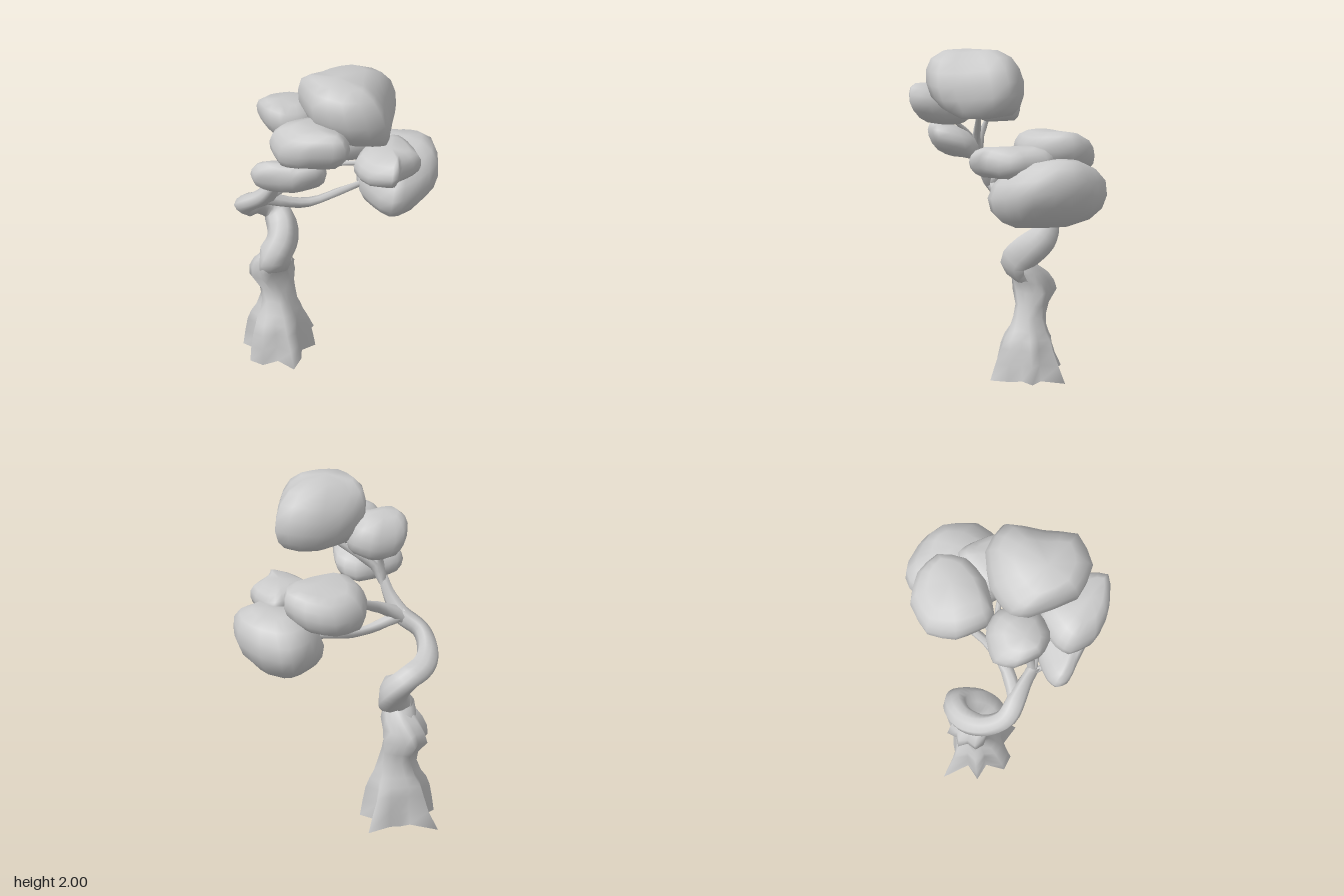
import * as THREE from 'three';
import { mergeVertices } from 'three/addons/utils/BufferGeometryUtils.js';

const V = (x, y, z) => new THREE.Vector3(x, y, z);
const bark = new THREE.MeshStandardMaterial({ color: 0xcccccc, side: THREE.DoubleSide });
const leaves = new THREE.MeshStandardMaterial({ color: 0xcccccc });

// Skins a stack of closed rings (rings rise, points run from +x towards +z)
function loft(rings) {
  const n = rings[0].length, index = [];
  for (let i = 0; i < rings.length - 1; i++) {
    for (let j = 0; j < n; j++) {
      const k = (j + 1) % n, a = i * n + j, b = i * n + k, c = a + n, d = b + n;
      index.push(a, c, b, b, c, d);
    }
  }
  let geo = new THREE.BufferGeometry().setFromPoints(rings.flat());
  geo.setIndex(index);
  geo = mergeVertices(geo, 1e-4);
  geo.computeVertexNormals();
  return geo;
}

// Tapering limb through points [x, y, z, radius], with twisting ridges
function limb(points, steps, sides, ridge) {
  const curve = new THREE.CatmullRomCurve3(points.map(p => V(p[0], p[1], p[2])));
  const { normals, binormals } = curve.computeFrenetFrames(steps, false);
  const rings = [];
  for (let i = 0; i <= steps; i++) {
    const t = i / steps, f = curve.getUtoTmapping(t) * (points.length - 1);
    const k = Math.min(Math.floor(f), points.length - 2);
    const r = THREE.MathUtils.lerp(points[k][3], points[k + 1][3], f - k);
    const centre = curve.getPointAt(t);
    rings.push(Array.from({ length: sides }, (_, j) => {
      const a = j / sides * Math.PI * 2;
      const rr = r * (1 + ridge * Math.sin(3 * a + t * 9) + ridge * 0.6 * Math.sin(2 * a - t * 23));
      return centre.clone().addScaledVector(normals[i], rr * Math.cos(a))
        .addScaledVector(binormals[i], -rr * Math.sin(a));
    }));
  }
  return loft(rings);
}

// Leaf pad: plan outline swelled between two heights; a low power gives steep sides,
// and the crown and underside can shift sideways
function pad({ plan, low, high, power = 0.62, tilt = [0, 0], top = [0, 0], seed }) {
  const xs = plan.map(p => p[0]), zs = plan.map(p => p[1]);
  const cx = (Math.min(...xs) + Math.max(...xs)) / 2, cz = (Math.min(...zs) + Math.max(...zs)) / 2;
  const sorted = plan.map(([x, z]) => V(x - cx, 0, z - cz))
    .sort((p, q) => Math.atan2(p.z, p.x) - Math.atan2(q.z, q.x));
  const outline = new THREE.CatmullRomCurve3(sorted, true, 'catmullrom', 0.25).getPoints(18).slice(0, 18);
  const rings = [], levels = 8;
  for (let i = 0; i <= levels; i++) {
    const phi = (i / levels - 0.5) * Math.PI, h = Math.sin(phi);
    const s = i % levels ? Math.pow(Math.cos(phi), power) : 0;
    rings.push(outline.map((p, j) => {
      const a = j / 18 * Math.PI * 2;
      const lump = 1 + 0.1 * (1 - s * s) * Math.sin(3 * a + seed + i);
      const x = p.x * s * lump, z = p.z * s * lump;
      const y = (low + high) / 2 + h * (high - low) / 2 + tilt[0] * x + tilt[1] * z
        + 0.015 * s * Math.sin(2 * a + seed * 3);
      return V(cx + x + top[0] * h * (1 - s * 0.5), y, cz + z + top[1] * h * (1 - s * 0.5));
    }));
  }
  return loft(rings);
}

export function createModel() {
  const group = new THREE.Group();
  const add = (name, geo, mat) => {
    const mesh = new THREE.Mesh(geo, mat);
    mesh.name = name;
    group.add(mesh);
  };

  // Flared roots: a star at the ground that gathers into the trunk
  const star = [.15, .22, .15, .2, .27, .17, .23, .24, .15, .23, .15, .3, .15, .15, .16, .28];
  // [y, centre x, centre z, scale, longest root, star strength, twist]
  const rootRings = [
    [0, -.33, -.27, 1, .3, 1, 0], [.1, -.33, -.27, .93, .25, 1, .02], [.19, -.335, -.27, .88, .22, .9, .04],
    [.25, -.335, -.27, .84, .2, .9, .06], [.3, -.33, -.27, .66, .21, .9, .1], [.38, -.325, -.275, .52, .22, .8, .25],
    [.45, -.33, -.29, .5, .22, .8, .4], [.53, -.35, -.315, .61, .24, .7, .55], [.59, -.355, -.3, .59, .24, .6, .7],
    [.65, -.35, -.265, .55, .24, .5, .85], [.7, -.35, -.23, .42, .24, .3, 1], [.75, -.33, -.22, .2, .24, 0, 1.1],
  ];
  add('roots', loft(rootRings.map(([y, cx, cz, s, cap, k, twist]) =>
    star.map((r, j) => {
      const a = j * Math.PI / 8 + twist, rr = s * THREE.MathUtils.lerp(0.2, Math.min(r, cap), k);
      return V(cx + rr * Math.cos(a), y, cz + rr * Math.sin(a));
    }))), bark);

  // Spiralling trunk
  add('trunk', limb([
    [-.335, .45, -.29, .03], [-.36, .61, -.27, .085], [-.36, .71, -.205, .1], [-.3, .79, -.24, .095],
    [-.275, .87, -.32, .085], [-.31, .94, -.375, .068], [-.41, .99, -.365, .062], [-.505, 1.05, -.27, .06],
    [-.53, 1.12, -.17, .052], [-.46, 1.2, -.07, .05], [-.42, 1.3, 0, .036], [-.4, 1.4, .05, .03],
  ], 44, 10, 0.14), bark);

  // Branches, each ending inside its leaf pad
  const branches = {
    lowBranch: [[-.47, 1.21, -.08, .045], [-.36, 1.165, -.06, .034], [-.2, 1.13, -.04, .026], [0, 1.16, -.05, .022], [.2, 1.2, -.06, .015]],
    middleBranch: [[-.46, 1.19, -.08, .045], [-.33, 1.26, -.07, .034], [-.18, 1.33, -.11, .028], [-.05, 1.39, -.18, .022], [.08, 1.43, -.21, .012]],
    middleTwig: [[-.2, 1.32, -.1, .02], [-.08, 1.36, -.03, .018], [.12, 1.39, .1, .012]],
    crownBranch: [[-.4, 1.37, .04, .03], [-.36, 1.46, .07, .025], [-.25, 1.55, .11, .02], [-.08, 1.68, .18, .014]],
    backTwig: [[-.4, 1.38, .04, .026], [-.37, 1.5, .03, .018], [-.32, 1.66, -.01, .012]],
    frontTwig: [[-.37, 1.45, .07, .022], [-.33, 1.54, .17, .016], [-.31, 1.66, .3, .012]],
    sideTwig: [[-.41, 1.36, .03, .02], [-.42, 1.39, .1, .014], [-.38, 1.45, .2, .01]],
  };
  for (const [name, pts] of Object.entries(branches)) add(name, limb(pts, 12, 7, 0.1), bark);

  // Leaf pads: plan points are [x, z]
  const pads = {
    crownPad: { low: 1.62, high: 2, power: .6, top: [-.1, .02], seed: 1, plan: [[.23, .14], [.13, .31], [.04, .47], [-.16, .46], [-.29, .32], [-.28, .06], [-.22, -.02], [-.06, -.05], [.13, 0]] },
    upperFrontPad: { low: 1.57, high: 1.81, top: [.02, .06], seed: 2, plan: [[-.49, .2], [-.48, .34], [-.39, .45], [-.21, .54], [-.14, .44], [-.14, .25], [-.25, .13], [-.42, .15]] },
    upperBackPad: { low: 1.58, high: 1.82, top: [-.06, .02], seed: 3, plan: [[-.46, -.1], [-.46, .05], [-.38, .14], [-.24, .14], [-.16, .05], [-.15, -.06], [-.22, -.15], [-.38, -.18]] },
    sidePad: { low: 1.37, high: 1.57, tilt: [.03, .14], top: [-.03, .05], seed: 4, plan: [[-.57, .16], [-.5, .24], [-.4, .36], [-.25, .36], [-.19, .22], [-.26, .1], [-.5, .075], [-.57, .1]] },
    middleBackPad: { low: 1.31, high: 1.55, power: .5, tilt: [0, .08], top: [.03, .02], seed: 5, plan: [[-.11, -.15], [-.1, -.27], [0, -.4], [.18, -.42], [.31, -.33], [.36, -.19], [.27, -.05], [.11, 0], [-.09, -.04]] },
    middleFrontPad: { low: 1.3, high: 1.48, power: .55, top: [.02, 0], seed: 6, plan: [[.38, 0], [.37, .2], [.22, .28], [.16, .35], [.05, .24], [.02, .08], [.14, -.04], [.34, -.08]] },
    lowPad: { low: 1.03, high: 1.42, power: .85, tilt: [.06, 0], top: [.06, -.02], seed: 7, plan: [[.58, -.06], [.55, -.22], [.44, -.36], [.33, -.37], [.17, -.28], [.1, -.05], [.13, .15], [.2, .26], [.37, .22], [.51, .13]] },
  };
  for (const [name, spec] of Object.entries(pads)) add(name, pad(spec), leaves);

  return group;
}
